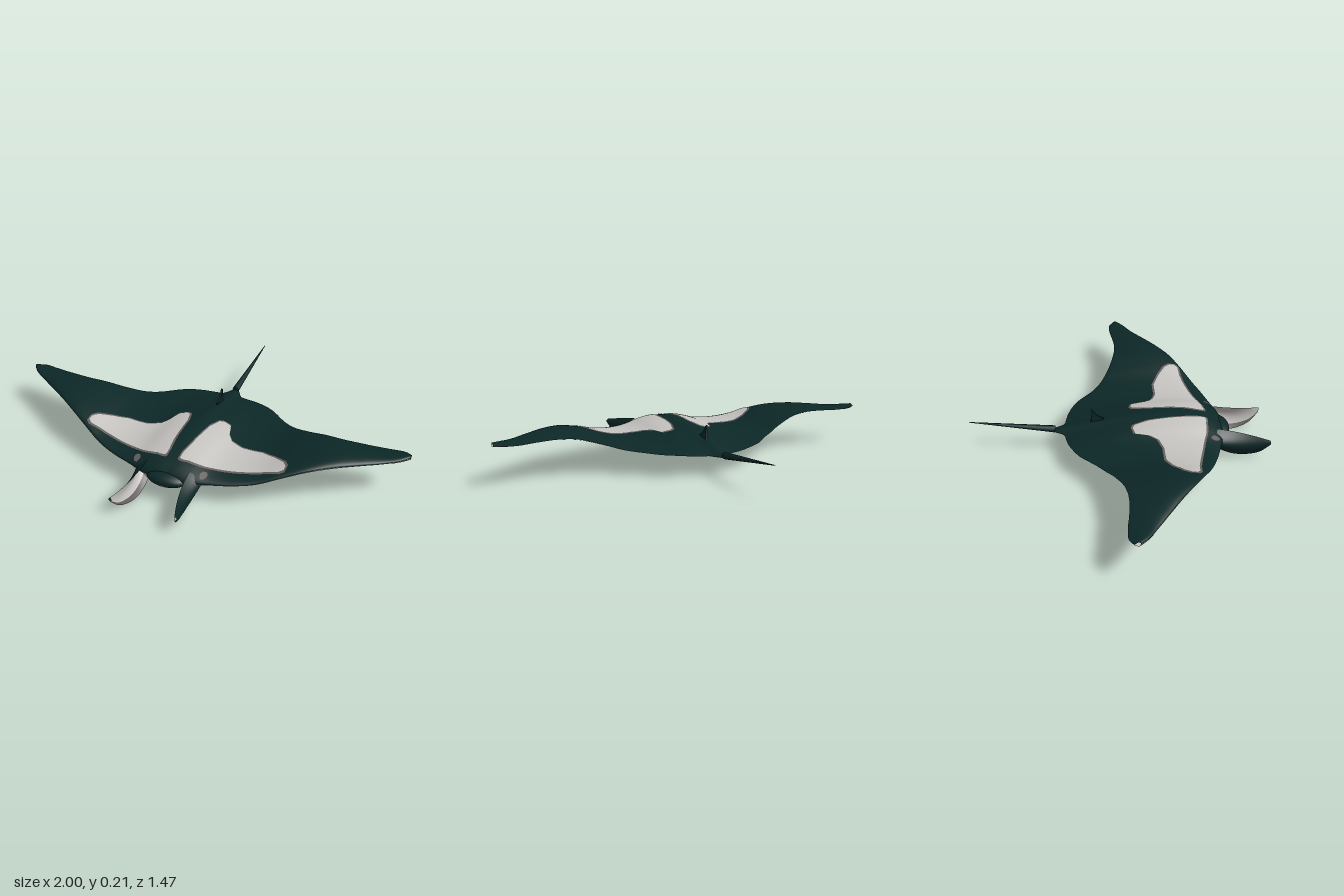
import * as THREE from 'three';

const material = (name, color) =>
  new THREE.MeshStandardMaterial({ name, color, side: THREE.DoubleSide });

// Smooth curve over |x|, mirrored so that it is level at the midline
function curve(points) {
  const all = [...points.slice(1).map(([x, v]) => [-x, v]).reverse(), ...points];
  const f = new THREE.CubicInterpolant(all.map(p => p[0]), all.map(p => p[1]), 1);
  return x => f.evaluate(x)[0];
}

// Outline and thickness of the disc, from midline to wing tip
const lead = curve([[0, 0.525], [0.1, 0.52], [0.2, 0.49], [0.3, 0.46], [0.4, 0.42], [0.5, 0.37],
  [0.6, 0.315], [0.7, 0.25], [0.8, 0.185], [0.9, 0.12], [0.97, 0.075], [1, 0.045]]);
const trail = curve([[0, -0.33], [0.02, -0.31], [0.045, -0.27], [0.09, -0.256], [0.14, -0.245], [0.25, -0.195],
  [0.35, -0.11], [0.45, -0.05], [0.55, -0.01], [0.67, 0.015], [0.8, 0.01], [0.9, -0.002], [0.97, 0], [1, 0.018]]);
const edgeY = curve([[0, 0.095], [0.1, 0.097], [0.2, 0.105], [0.3, 0.11], [0.4, 0.122], [0.5, 0.153],
  [0.6, 0.18], [0.7, 0.188], [0.8, 0.187], [0.9, 0.185], [1, 0.193]]);
const topY = curve([[0, 0.183], [0.1, 0.17], [0.2, 0.142], [0.3, 0.135], [0.4, 0.148], [0.5, 0.178],
  [0.6, 0.2], [0.7, 0.208], [0.8, 0.203], [0.9, 0.197], [1, 0.203]]);
const bottomY = curve([[0, 0.04], [0.1, 0.05], [0.2, 0.073], [0.3, 0.085], [0.4, 0.1], [0.5, 0.13],
  [0.6, 0.158], [0.7, 0.17], [0.8, 0.173], [0.9, 0.174], [1, 0.185]]);

function skinY(x, z, side) {
  const t = THREE.MathUtils.clamp((lead(x) - z) / (lead(x) - trail(x)), 0, 1);
  const bulge = Math.pow(Math.max(0, Math.sin(Math.PI * Math.pow(t, 0.6))), 0.8);
  return THREE.MathUtils.lerp(edgeY(x), side > 0 ? topY(x) : bottomY(x), bulge);
}

// Grid surface from a point function of u, v in 0..1
function sheet(nu, nv, at) {
  const pos = [], index = [];
  for (let i = 0; i <= nu; i++) for (let j = 0; j <= nv; j++) {
    pos.push(...at(i / nu, j / nv));
    if (i < nu && j < nv) {
      const a = i * (nv + 1) + j, b = a + nv + 1;
      index.push(a, b, a + 1, b, b + 1, a + 1);
    }
  }
  const g = new THREE.BufferGeometry();
  g.setAttribute('position', new THREE.Float32BufferAttribute(pos, 3));
  g.setIndex(index);
  g.computeVertexNormals();
  return g;
}

// Thin patch lying on the skin; rows are [x, front z, back z]
function skinPatch(rows, side, lift) {
  return sheet((rows.length - 1) * 4, 16, (u, v) => {
    const k = u * (rows.length - 1), i = Math.min(Math.floor(k), rows.length - 2);
    const [x, z0, z1] = rows[i].map((a, n) => THREE.MathUtils.lerp(a, rows[i + 1][n], k - i));
    const z = THREE.MathUtils.lerp(z0, z1, v);
    return [x, skinY(x, z, side) + side * lift, z];
  });
}

export function createModel() {
  const model = new THREE.Group();
  model.name = 'mantaRay';
  const dark = material('dark teal', 0x0c2827);
  const pale = material('pale grey', 0xc6c4c1);
  const grey = material('brown grey', 0x655e5e);
  const add = (name, geometry, mat) => {
    const mesh = new THREE.Mesh(geometry, mat);
    mesh.name = name;
    model.add(mesh);
    return mesh;
  };

  // Back and belly
  for (const side of [1, -1]) {
    add(side > 0 ? 'back' : 'belly', sheet(160, 32, (u, v) => {
      const x = (u * 2 - 1) * side;
      const t = (1 - Math.cos(Math.PI * v)) / 2;
      const z = THREE.MathUtils.lerp(lead(x), trail(x), t);
      return [x, skinY(x, z, side), z];
    }), side > 0 ? dark : pale);
  }

  const marking = [[0.035, 0.43, 0.4], [0.045, 0.435, 0.33], [0.06, 0.435, 0.15], [0.08, 0.43, 0.08],
    [0.1, 0.43, 0.07], [0.14, 0.425, 0.08], [0.16, 0.42, 0.15], [0.19, 0.41, 0.19], [0.25, 0.395, 0.21],
    [0.35, 0.37, 0.21], [0.42, 0.355, 0.24], [0.48, 0.35, 0.28], [0.5, 0.335, 0.31]];
  const border = marking.map(([x, a, b]) => [x + (x - 0.27) * 0.035, a + 0.01, b - 0.01]);
  const tipRows = [0.93, 0.95, 0.97, 0.985, 1].map(x => [x, lead(x), trail(x)]);
  const rearRows = [0.48, 0.54, 0.6, 0.66, 0.72].map((x, i) =>
    [x, trail(x) + [0.002, 0.025, 0.035, 0.02, 0.002][i], trail(x)]);
  const eyeRows = [[0.152, 0.475, 0.465], [0.16, 0.49, 0.45], [0.175, 0.485, 0.445], [0.185, 0.47, 0.455]];
  const finBottom = curve([[0, 0.04], [0.1, 0.024], [0.25, 0.008], [0.45, 0], [0.65, 0.008], [0.85, 0.032], [1, 0.075]]);

  for (const s of [1, -1]) {
    const side = s > 0 ? 'left' : 'right';
    const flip = rows => s > 0 ? rows : rows.map(([x, a, b]) => [-x, a, b]).reverse();

    // Shoulder markings, eyes and underside patches
    add(side + 'MarkingBorder', skinPatch(flip(border), 1, 0.002), grey);
    add(side + 'Marking', skinPatch(flip(marking), 1, 0.004), pale);
    add(side + 'Eye', skinPatch(flip(eyeRows), 1, 0.004), grey);
    add(side + 'TipPatch', skinPatch(flip(tipRows), -1, 0.002), grey);
    add(side + 'RearPatch', skinPatch(flip(rearRows), -1, 0.002), grey);

    // Curled head fin: outer and inner skins meeting at their edges
    const headFin = (name, thick, v0, v1, mat) => add(side + name, sheet(20, 14, (u, v) => {
      const w = THREE.MathUtils.lerp(v0, v1, v);
      const bow = 0.048 * (1 - u) + 0.01 - thick;
      const x = 0.107 + 0.05 * u * u + bow * Math.sin(Math.PI * w);
      return [s * x, THREE.MathUtils.lerp(0.146 - 0.046 * u, finBottom(u), w), 0.48 + 0.26 * u];
    }), mat);
    headFin('HeadFinOuter', 0, 0, 1, dark);
    headFin('HeadFinInner', 0.012, 0, 0.82, pale);
    headFin('HeadFinInnerRim', 0.012, 0.82, 1, grey);
  }

  // Mouth
  const lip = add('lips', new THREE.SphereGeometry(1, 28, 16), dark);
  lip.scale.set(0.1, 0.034, 0.06);
  lip.position.set(0, 0.093, 0.5);
  const mouth = add('mouth', new THREE.SphereGeometry(1, 24, 12), grey);
  mouth.scale.set(0.07, 0.013, 0.06);
  mouth.position.set(0, 0.086, 0.502);

  // Dorsal fin
  const finShape = new THREE.Shape();
  finShape.moveTo(-0.05, 0.12);
  finShape.lineTo(-0.07, 0.16);
  finShape.quadraticCurveTo(-0.11, 0.175, -0.127, 0.212);
  finShape.quadraticCurveTo(-0.124, 0.17, -0.14, 0.12);
  const dorsal = new THREE.ExtrudeGeometry(finShape, { depth: 0.01, bevelEnabled: false });
  dorsal.translate(0, 0, -0.005).rotateY(-Math.PI / 2);
  add('dorsalFin', dorsal, dark);

  // Whip tail
  const from = new THREE.Vector3(0, 0.102, -0.31), to = new THREE.Vector3(0, 0.154, -0.73);
  const dir = to.clone().sub(from);
  const tail = add('tail', new THREE.CylinderGeometry(0.0015, 0.018, dir.length(), 8), dark);
  tail.position.copy(from).add(to).multiplyScalar(0.5);
  tail.quaternion.setFromUnitVectors(new THREE.Vector3(0, 1, 0), dir.normalize());

  return model;
}
